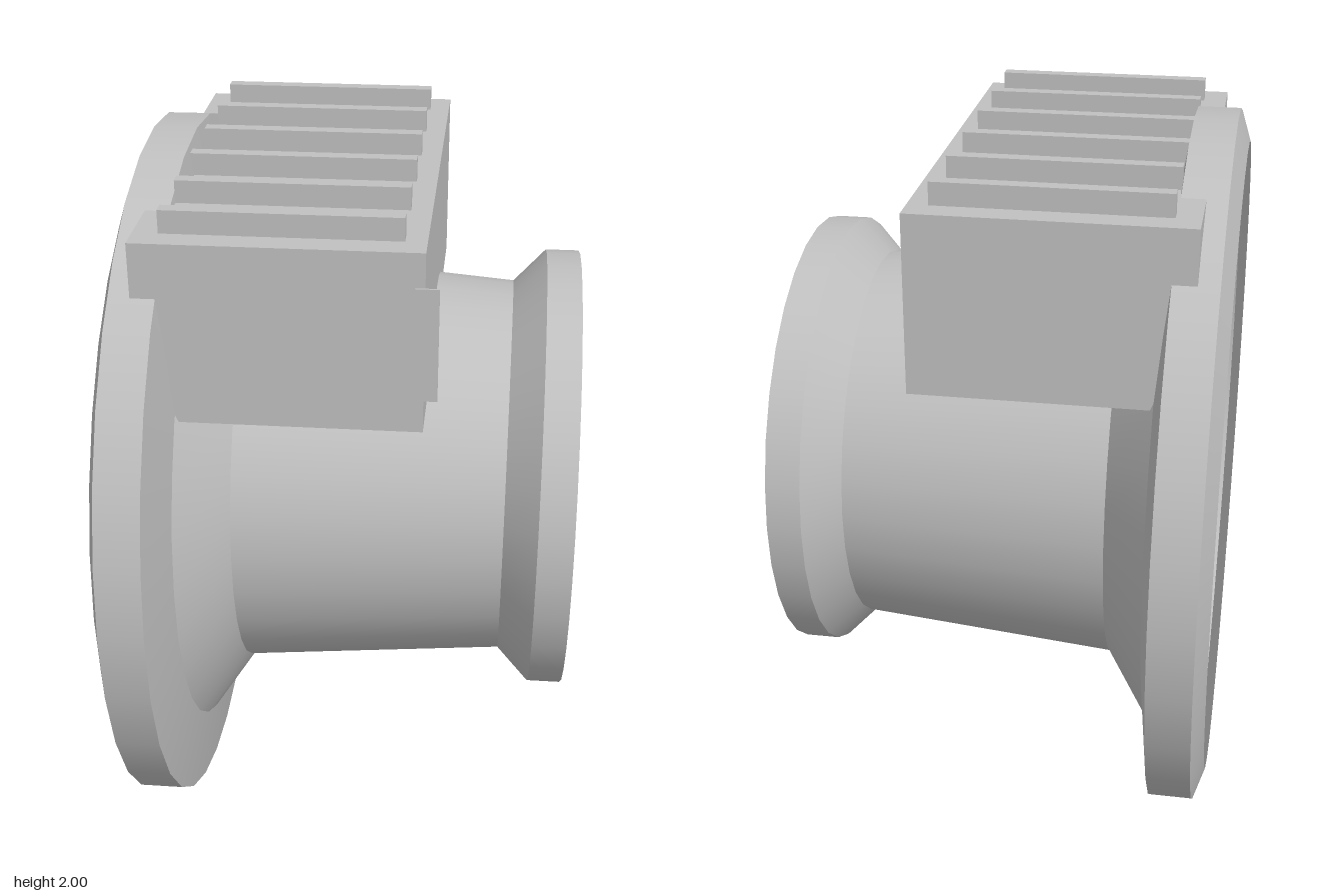
import * as THREE from 'three';

export function createModel() {
  const group = new THREE.Group();
  const grey = new THREE.MeshStandardMaterial({ color: 0xc0c0c0, side: THREE.DoubleSide });
  grey.name = 'lightGrey';

  function add(name, geometry, x = 0, y = 0, z = 0) {
    const mesh = new THREE.Mesh(geometry, grey);
    mesh.name = name;
    mesh.position.set(x, y, z);
    group.add(mesh);
    return mesh;
  }

  // Open thin-walled pipe along x: one band per profile step keeps the creases sharp
  const profile = [
    [-0.605, 0.91], [-0.575, 1], [-0.457, 1], [-0.425, 0.78],
    [-0.305, 0.6], [0.42, 0.542], [0.51, 0.635], [0.605, 0.635],
  ];
  const bandNames = ['rimBevel', 'rim', 'flangeFace', 'flangeCone', 'tube', 'collarFlare', 'collar'];
  bandNames.forEach((name, i) => {
    const points = [profile[i], profile[i + 1]].map(([x, r]) => new THREE.Vector2(r, x));
    const band = new THREE.LatheGeometry(points, 32);
    band.rotateZ(-Math.PI / 2);
    add(name, band, 0, 1, 0);
  });

  // Housing block that cuts through the flange and the top of the tube
  add('housing', new THREE.BoxGeometry(0.725, 0.48, 1.27), -0.1575, 1.67, 0);

  // Ribs on top of the housing
  for (let i = 0; i < 6; i++) {
    add('rib', new THREE.BoxGeometry(0.605, 0.07, 0.038), -0.1525, 1.935, (i - 2.5) * 0.218);
  }

  // Thin tab at the side of the housing
  add('sideTab', new THREE.BoxGeometry(0.06, 0.3, 0.006), 0.21, 1.67, 0.638);

  // Slanted hexagonal rod from the housing into the tube
  const start = new THREE.Vector3(0.4, 1.19, 0.36);
  const end = new THREE.Vector3(-0.12, 1.47, 0.36);
  const direction = end.clone().sub(start);
  const rodGeometry = new THREE.CylinderGeometry(0.031, 0.031, direction.length(), 6);
  const rod = add('rod', rodGeometry);
  rod.position.copy(start).lerp(end, 0.5);
  rod.quaternion.setFromUnitVectors(new THREE.Vector3(0, 1, 0), direction.normalize());

  return group;
}
